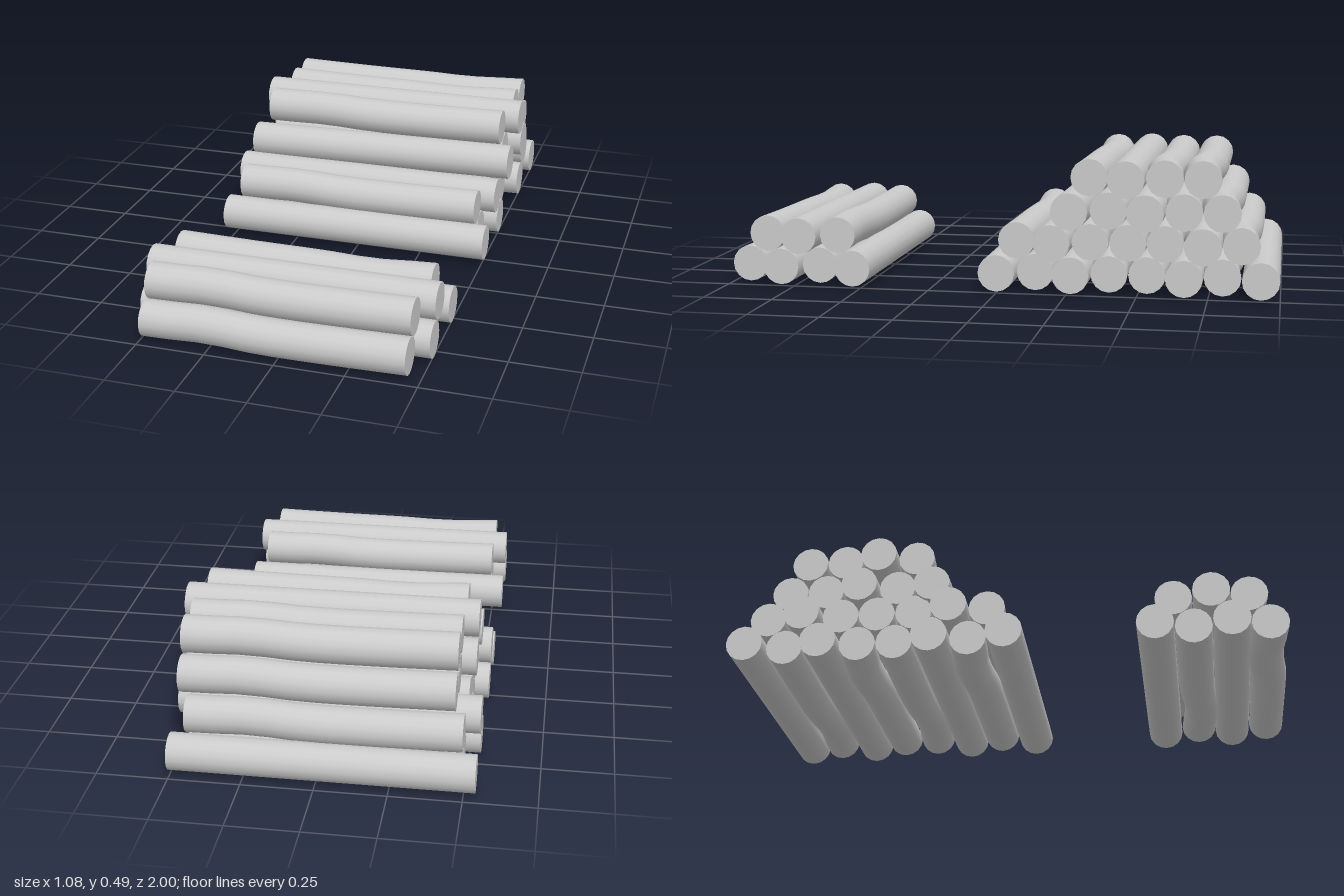
import * as THREE from 'three';

const material = new THREE.MeshStandardMaterial({ color: 0xcccccc });
const RADIUS = 0.066;

// A log along x; bend pushes it sideways near one end and lets it sag a little
function logGeometry(length, bend) {
  const geo = new THREE.CylinderGeometry(RADIUS, RADIUS, length, 16, bend ? 10 : 1);
  geo.rotateZ(-Math.PI / 2);
  const p = geo.attributes.position;
  for (let i = 0; bend && i < p.count; i++) {
    const x = p.getX(i);
    const bump = Math.exp(-(((x - 0.25) / 0.13) ** 2));
    const sag = Math.cos((x / length) * Math.PI);
    p.setZ(i, p.getZ(i) + bend * bump);
    p.setY(i, p.getY(i) - 0.006 * sag);
  }
  return geo;
}

const straight = logGeometry(1.045, 0);
const bent = logGeometry(0.945, 0.018);

// Kinds: S straight, B bent, R bent and turned end for end
function addRow(pile, kinds, zStart, y, x) {
  [...kinds].forEach((kind, i) => {
    const log = new THREE.Mesh(kind === 'S' ? straight : bent, material);
    log.name = kind === 'S' ? 'straightLog' : 'bentLog';
    log.position.set(x, y, zStart - i * 0.1333);
    if (kind === 'R') log.rotation.y = Math.PI;
    pile.add(log);
  });
}

export function createModel() {
  const model = new THREE.Group();
  model.name = 'logPiles';

  // Small pile at the front
  const small = new THREE.Group();
  small.name = 'smallPile';
  addRow(small, 'RSBS', 0.93, 0.072, -0.0175);
  addRow(small, 'RSB', 0.863, 0.185, -0.0175);

  // Large pile at the back, four rows high
  const large = new THREE.Group();
  large.name = 'largePile';
  addRow(large, 'SRSBRSBS', 0, 0.072, -0.0175);
  addRow(large, 'RSBRBSB', -0.065, 0.185, -0.0175);
  addRow(large, 'SRSBB', -0.265, 0.303, 0.015);
  addRow(large, 'RSBB', -0.33, 0.42, 0.015);

  // The front log of the third row has slipped down at one end
  const slipped = large.children[15];
  slipped.rotation.z = 0.013;
  slipped.position.y = 0.297;

  model.add(small, large);
  return model;
}
